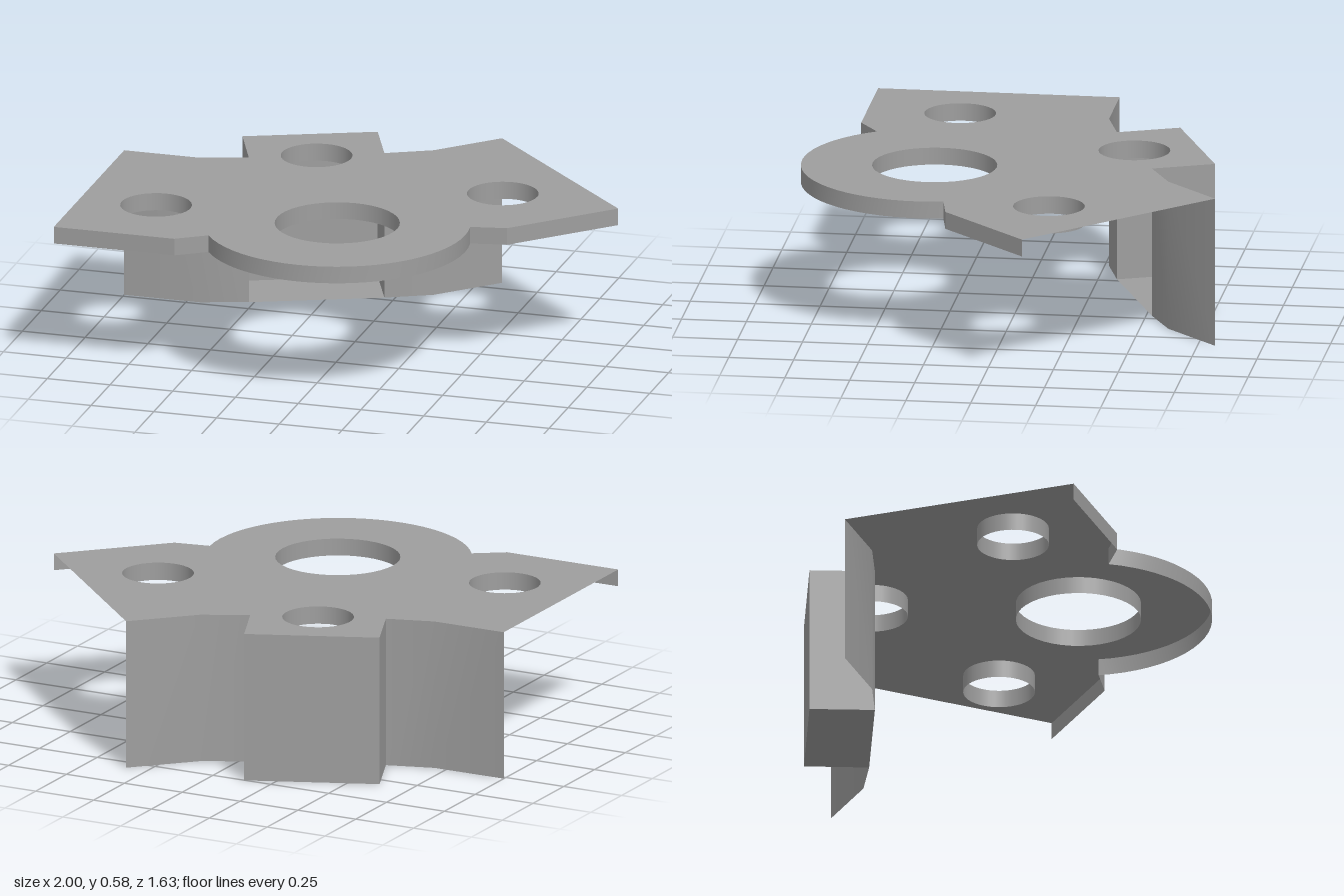
import * as THREE from 'three';
import { toCreasedNormals } from 'three/addons/utils/BufferGeometryUtils.js';

const TOP = 0.584, RIM = 0.517, LUG = 0.515;
const material = new THREE.MeshStandardMaterial({ color: 0x9e9e9e, side: THREE.DoubleSide });

function mesh(name, geometry) {
  const m = new THREE.Mesh(geometry, material);
  m.name = name;
  return m;
}

// Points [x, z] along a circular arc, angles measured from +x towards +z
function arc(cx, cz, r, a0, a1, n) {
  return Array.from({ length: n + 1 }, (_, i) => {
    const a = a0 + ((a1 - a0) * i) / n;
    return [cx + r * Math.cos(a), cz + r * Math.sin(a)];
  });
}

// Horizontal sheet facing up, with optional holes
function sheet(points, y, holes = []) {
  const toVec = ([x, z]) => new THREE.Vector2(x, -z);
  const shape = new THREE.Shape(points.map(toVec));
  for (const h of holes) shape.holes.push(new THREE.Path(h.map(toVec)));
  return new THREE.ShapeGeometry(shape).rotateX(-Math.PI / 2).translate(0, y, 0);
}

// Upright strip of sheet metal following a path
function strip(points, y0, y1) {
  const position = [], index = [];
  points.forEach(([x, z], i) => {
    position.push(x, y0, z, x, y1, z);
    if (i) {
      const b = 2 * i;
      index.push(b - 2, b, b + 1, b - 2, b + 1, b - 1);
    }
  });
  const g = new THREE.BufferGeometry();
  g.setAttribute('position', new THREE.Float32BufferAttribute(position, 3));
  g.setIndex(index);
  return toCreasedNormals(g, 0.5);
}

export function createModel() {
  const group = new THREE.Group();
  group.name = 'bracket';

  // Front outline, running from the right end round the ring to the left tip
  const front = [
    [-1, 0.663], [-0.52, 0.663],
    ...arc(0.02, 0.306, 0.511, 2.56, -0.2, 28),
    [0.66, 0.178], [1, -0.163],
  ];
  // Back outline with the square pocket
  const pocket = [[-0.04, -0.522], [-0.136, -0.752], [-0.615, -0.553], [-0.52, -0.322]];
  const back = [[0.34, -0.817], [0.13, -0.608], ...pocket, [-0.7, -0.267], [-1, -0.267]];

  // Centre opening and the three bolt holes
  const circles = [
    ['centreHoleCollar', 0.022, 0.306, 0.239, RIM],
    ['leftHoleCollar', 0.528, -0.203, 0.137, LUG],
    ['rightHoleCollar', -0.7, 0.306, 0.137, LUG],
    ['backHoleCollar', -0.28, -0.422, 0.137, LUG],
  ];
  const holes = [];
  for (const [name, x, z, r, y] of circles) {
    holes.push(arc(x, z, r, 0, Math.PI * 2, 40).slice(0, -1));
    const collar = new THREE.CylinderGeometry(r, r, TOP - y, 40, 1, true, Math.PI / 2);
    group.add(mesh(name, collar.translate(x, (TOP + y) / 2, z)));
  }

  // Top plate, open underneath and at both ends
  group.add(mesh('topPlate', sheet([...front, ...back], TOP, holes)));
  group.add(mesh('frontRim', strip(front, RIM, TOP)));
  group.add(mesh('backWall', strip(back, 0, TOP)));
  group.add(mesh('pocketFloor', sheet(pocket, 0)));
  return group;
}
